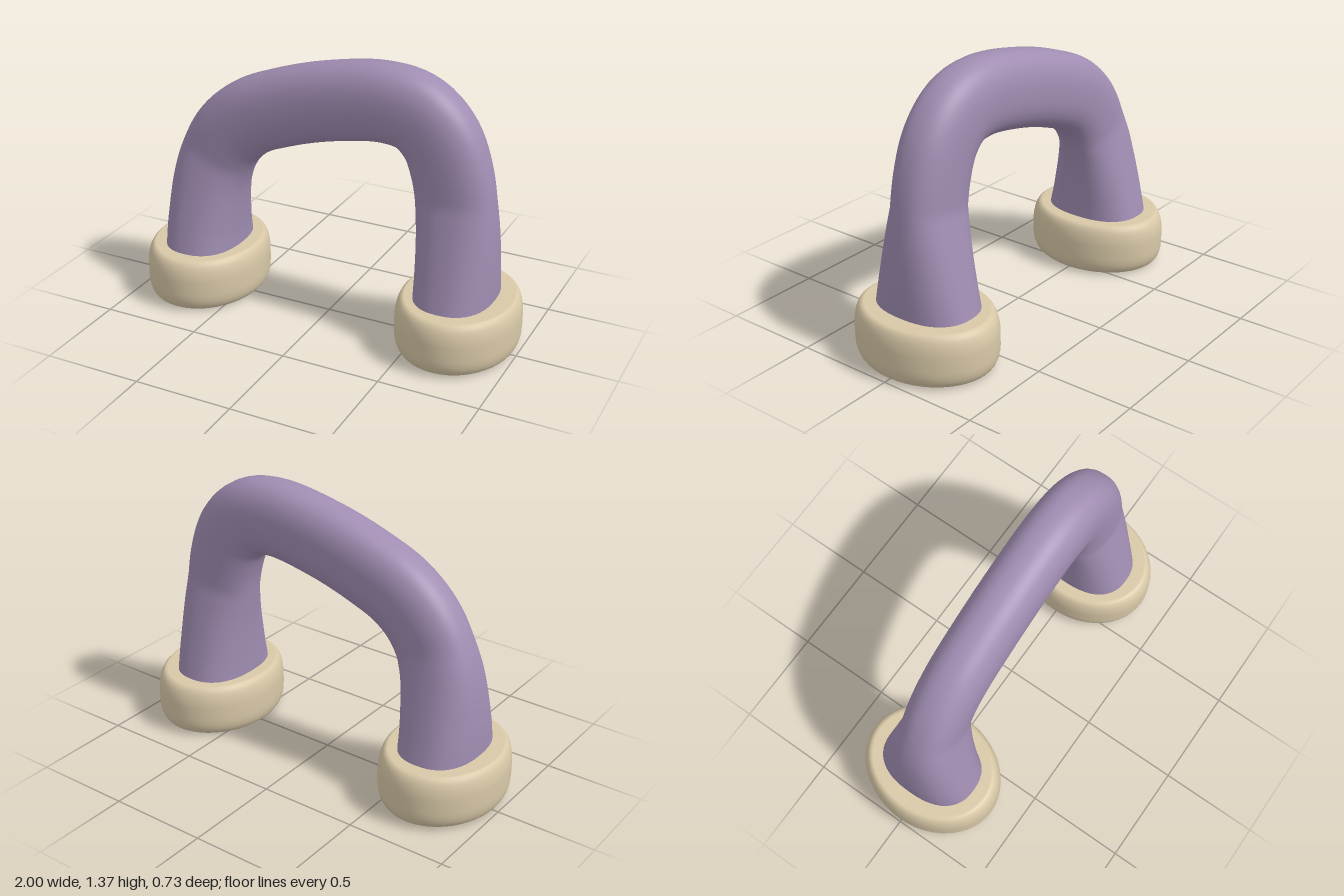
import * as THREE from 'three';

const purple = new THREE.MeshStandardMaterial({ color: 0xa08db2 });
purple.name = 'mutedPurple';
const beige = new THREE.MeshStandardMaterial({ color: 0xd8c8a7 });
beige.name = 'warmBeige';

// Centre line of the lopsided arch, from left foot to right foot on screen
const path = new THREE.CatmullRomCurve3([
  [-0.695, 0.15], [-0.69, 0.4], [-0.65, 0.67], [-0.56, 0.86], [-0.43, 0.98],
  [-0.25, 1.06], [0, 1.135], [0.3, 1.18], [0.46, 1.15], [0.57, 1.05],
  [0.635, 0.89], [0.672, 0.65], [0.685, 0.4], [0.685, 0.15],
].map(([x, y]) => new THREE.Vector3(x, y, 0)), false, 'centripetal');

// Sweep a squarish oval along the path; its depth flares out down the legs
function archGeometry(rings = 96, sides = 48) {
  const positions = [], indices = [];
  const squash = v => Math.sign(v) * Math.abs(v) ** (2 / 2.4);
  for (let i = 0; i <= rings; i++) {
    const c = path.getPointAt(i / rings);
    const t = path.getTangentAt(i / rings);
    const depth = 0.142 + Math.max(0, 0.76 - c.y) * 0.238;
    for (let j = 0; j < sides; j++) {
      const a = (j / sides) * Math.PI * 2;
      const out = 0.193 * squash(Math.cos(a));
      positions.push(c.x - t.y * out, c.y + t.x * out, depth * squash(Math.sin(a)));
      if (i === rings) continue;
      const k = (j + 1) % sides;
      const p = i * sides + j, q = i * sides + k;
      indices.push(p, q, p + sides, q, q + sides, p + sides);
    }
  }
  const geometry = new THREE.BufferGeometry();
  geometry.setAttribute('position', new THREE.Float32BufferAttribute(positions, 3));
  geometry.setIndex(indices);
  geometry.computeVertexNormals();
  return geometry;
}

// Oval foot: rounded rim with flat top and sole
function footGeometry() {
  const rim = new THREE.Shape();
  rim.moveTo(0, 0);
  rim.lineTo(0.84, 0);
  rim.bezierCurveTo(0.94, 0.005, 1, 0.04, 1, 0.1);
  rim.lineTo(1, 0.17);
  rim.bezierCurveTo(0.99, 0.23, 0.94, 0.275, 0.86, 0.275);
  rim.lineTo(0, 0.275);
  const geometry = new THREE.LatheGeometry(rim.getPoints(6), 48);
  geometry.scale(0.3, 1, 0.367);
  return geometry;
}

export function createModel() {
  const group = new THREE.Group();
  group.name = 'bentArch';

  const arch = new THREE.Mesh(archGeometry(), purple);
  arch.name = 'arch';
  group.add(arch);

  const foot = footGeometry();
  for (const side of [-1, 1]) {
    const mesh = new THREE.Mesh(foot, beige);
    mesh.name = side > 0 ? 'leftFoot' : 'rightFoot';
    mesh.position.x = side * 0.7;
    group.add(mesh);
  }
  return group;
}
